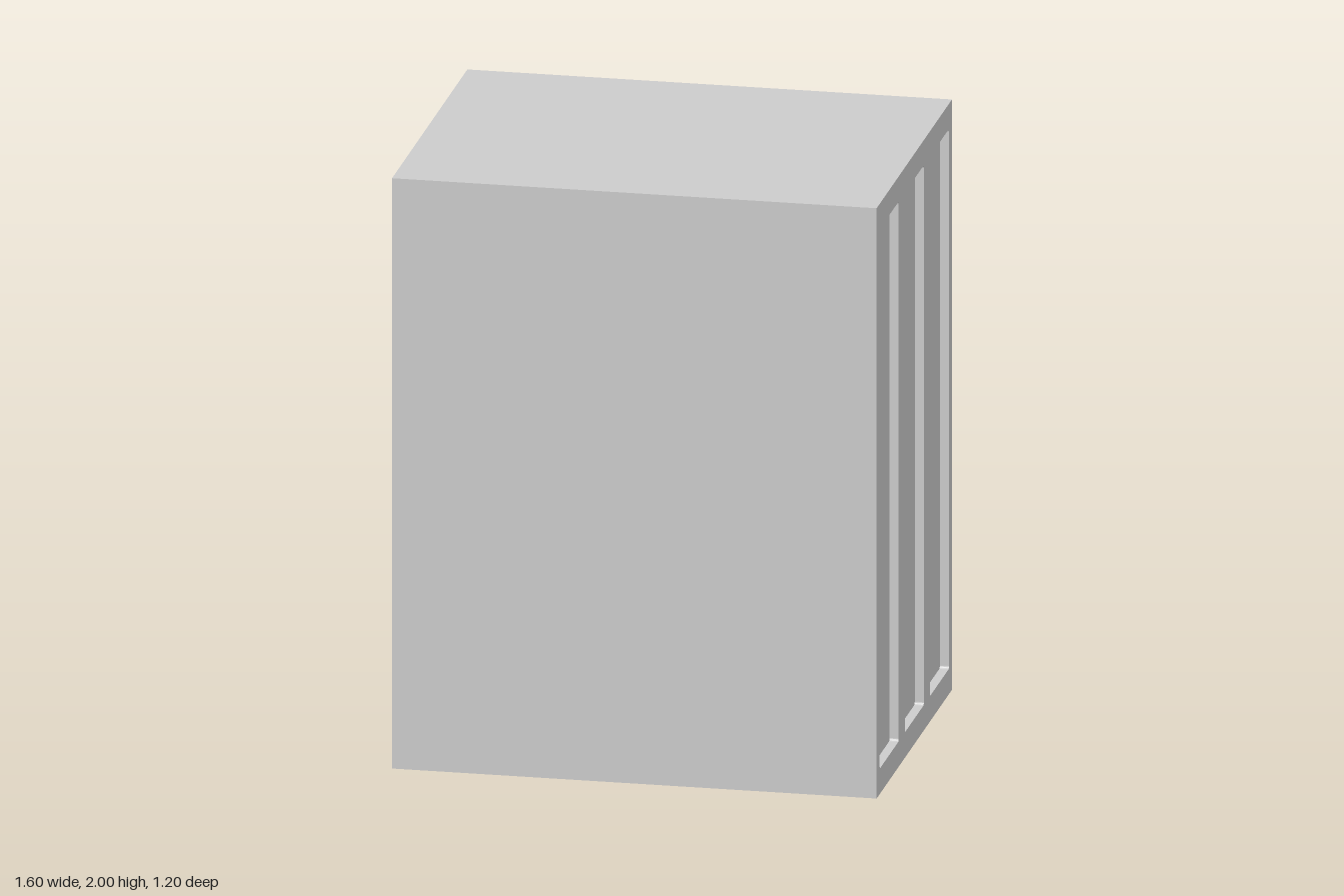
import * as THREE from 'three';

const HEIGHT = 2, DEPTH = 1.2;
const RIGHT_X = 0.8, LEFT_X = -0.8;
const RIGHT_RECESS = 0.03, LEFT_RECESS = 0.08;
const SLOT_CENTRES = [-0.4, 0, 0.4];

// Upright slot outline, with slightly rounded corners when r > 0
function slotPath(cx, halfW, y0, y1, r) {
  const p = new THREE.Path();
  const x0 = cx - halfW, x1 = cx + halfW;
  if (r === 0) {
    return p.setFromPoints([[x0, y0], [x1, y0], [x1, y1], [x0, y1], [x0, y0]]
      .map(([x, y]) => new THREE.Vector2(x, y)));
  }
  p.moveTo(x0 + r, y0);
  p.absarc(x1 - r, y0 + r, r, -Math.PI / 2, 0);
  p.absarc(x1 - r, y1 - r, r, 0, Math.PI / 2);
  p.absarc(x0 + r, y1 - r, r, Math.PI / 2, Math.PI);
  p.absarc(x0 + r, y0 + r, r, Math.PI, Math.PI * 1.5);
  return p;
}

// Side panel pierced by three slots, extruded along +z
function slottedPanel(halfW, y0, y1, r, thickness) {
  const h = DEPTH / 2;
  const shape = new THREE.Shape([[-h, 0], [h, 0], [h, HEIGHT], [-h, HEIGHT]]
    .map(([x, y]) => new THREE.Vector2(x, y)));
  shape.holes = SLOT_CENTRES.map((c) => slotPath(c, halfW, y0, y1, r));
  return new THREE.ExtrudeGeometry(shape, { depth: thickness, bevelEnabled: false, curveSegments: 3 });
}

export function createModel() {
  const group = new THREE.Group();
  const material = new THREE.MeshStandardMaterial({ color: 0xcccccc, flatShading: true });
  const add = (name, geometry) => {
    const mesh = new THREE.Mesh(geometry, material);
    mesh.name = name;
    group.add(mesh);
  };

  // Solid core, whose ends are the floors of the recesses
  const x0 = LEFT_X + LEFT_RECESS, x1 = RIGHT_X - RIGHT_RECESS;
  const core = new THREE.BoxGeometry(x1 - x0, HEIGHT, DEPTH);
  core.translate((x0 + x1) / 2, HEIGHT / 2, 0);
  add('body', core);

  // +x side: shallow straight-walled recesses
  const straight = slottedPanel(0.152, 0.086, 1.915, 0.01, RIGHT_RECESS);
  straight.rotateY(Math.PI / 2).translate(x1, 0, 0);
  add('straightSlotPanel', straight);

  // -x side: recesses whose inner outlines shrink towards the panel centre
  const tapered = slottedPanel(0.107, 0.172, 1.832, 0, LEFT_RECESS);
  const pos = tapered.attributes.position;
  for (let i = 0; i < pos.count; i++) {
    const onSlot = Math.abs(pos.getX(i)) < DEPTH / 2 - 0.01;
    if (onSlot && pos.getZ(i) < 0.001) {
      pos.setX(i, pos.getX(i) * 0.73);
      pos.setY(i, 1 + (pos.getY(i) - 1) * 0.65);
    }
  }
  tapered.computeVertexNormals();
  tapered.rotateY(-Math.PI / 2).translate(x0, 0, 0);
  add('taperedSlotPanel', tapered);

  return group;
}
